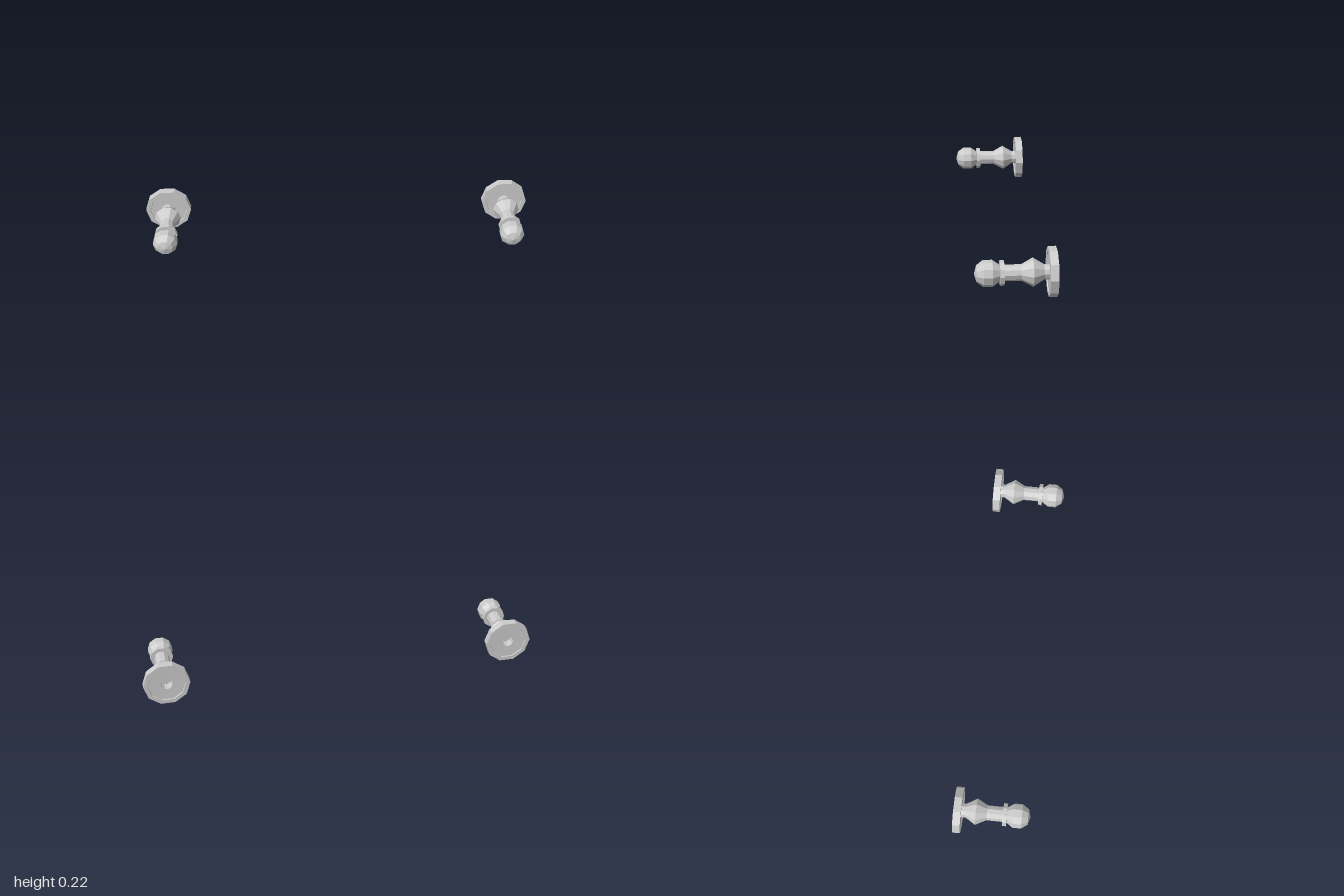
import * as THREE from 'three';

const SIDES = 10;
const material = new THREE.MeshStandardMaterial({ color: 0xcccccc, flatShading: true });

// Ten-sided turned part along z; profile points are [radius, z], from back to front
function turned(name, profile) {
  const points = profile.map(([r, z]) => new THREE.Vector2(r, z));
  const geometry = new THREE.LatheGeometry(points, SIDES, Math.PI / 2).rotateX(Math.PI / 2);
  const mesh = new THREE.Mesh(geometry, material);
  mesh.name = name;
  return mesh;
}

function createPeg(name) {
  const peg = new THREE.Group();
  peg.name = name;
  peg.add(
    // Mounting plate with slightly dished faces and a blind screw hole behind
    turned('mountingPlate', [
      [0, -0.14], [0.03, -0.14], [0.03, -0.183], [0.093, -0.184], [0.095, -0.188],
      [0.1167, -0.188], [0.1167, -0.15], [0.095, -0.15], [0.093, -0.154], [0.034, -0.155],
    ]),
    // Neck, flared bulge and straight shaft
    turned('shaft', [
      [0.0355, -0.157], [0.0355, -0.131], [0.067, -0.08], [0.038, -0.027], [0.038, 0.055],
    ]),
    // Thin collar behind the knob
    turned('collar', [
      [0.03, 0.052], [0.058, 0.052], [0.058, 0.072], [0.03, 0.072],
    ]),
    // Rounded end knob
    turned('knob', [
      [0.038, 0.071], [0.0615, 0.105], [0.0615, 0.147], [0.039, 0.178], [0, 0.189],
    ]),
  );
  return peg;
}

export function createModel() {
  const model = new THREE.Group();
  model.name = 'pegPair';
  for (const [name, side] of [['leftPeg', 1], ['rightPeg', -1]]) {
    const peg = createPeg(name);
    peg.position.set(side * 0.8833, 0.111, 0);
    model.add(peg);
  }
  return model;
}
